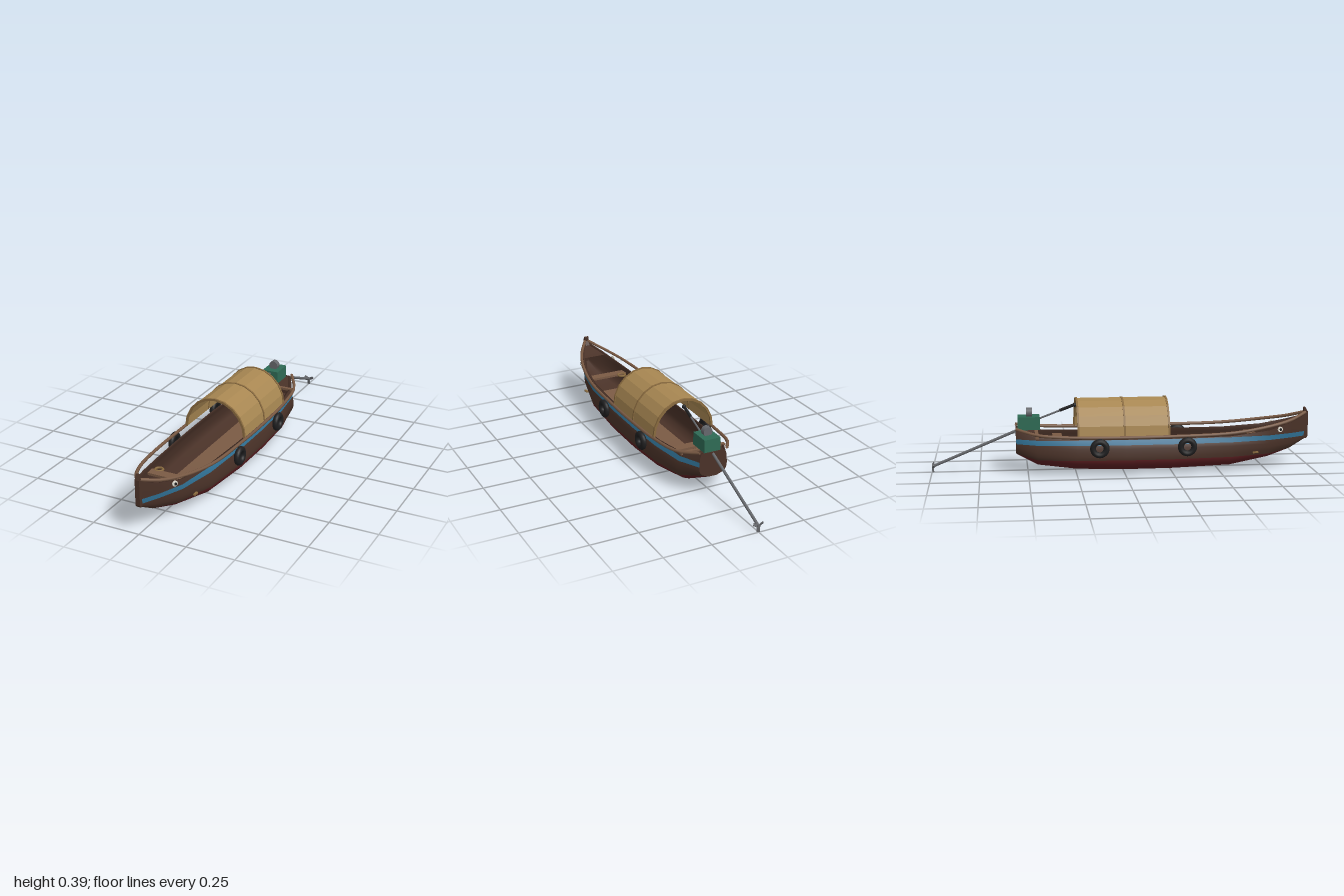
import * as THREE from 'three';

const mat = (name, color, side = THREE.FrontSide) => {
  const m = new THREE.MeshStandardMaterial({ color, side });
  m.name = name;
  return m;
};

// Hull stations: z, half beam, keel height, sheer height, bow sharpness
const STATIONS = [
  [-0.56, 0.078, 0.095, 0.228, 0], [-0.45, 0.14, 0.042, 0.196, 0], [-0.25, 0.17, 0.018, 0.185, 0],
  [0, 0.18, 0.01, 0.183, 0], [0.25, 0.178, 0.011, 0.183, 0], [0.56, 0.16, 0.02, 0.187, 0.1],
  [0.77, 0.12, 0.055, 0.207, 0.35], [0.9, 0.068, 0.095, 0.24, 0.7], [0.99, 0.012, 0.145, 0.275, 1],
];
// Midship section: height fraction, beam fraction
const SECTION = [[0, 0.28], [0.03, 0.56], [0.13, 0.83], [0.25, 0.95], [0.4, 1], [0.62, 0.98], [0.85, 0.93], [1, 0.84]];

function lookup(table, k) {
  const i = Math.max(1, table.findIndex((r) => r[0] >= k));
  const a = table[i - 1], b = table[i];
  const t = Math.min(1, Math.max(0, (k - a[0]) / (b[0] - a[0])));
  return a.map((v, n) => THREE.MathUtils.lerp(v, b[n], t));
}

function halfWidth(station, y) {
  const [, beam, keel, sheer, bow] = station;
  const u = THREE.MathUtils.clamp((y - keel) / (sheer - keel), 0, 1);
  return beam * THREE.MathUtils.lerp(lookup(SECTION, u)[1], 0.3 + 0.65 * Math.pow(u, 0.6), bow);
}

// Mirrors a half section [x, y] (keel to sheer) into a full one running from +x to -x
const mirrored = (half, z) => [
  ...[...half].reverse().map(([x, y]) => [x, y, z]),
  ...half.map(([x, y]) => [-x, y, z]),
];

// Skins a list of sections; bandOf gives a material index for each strip
function loft(sections, bandOf = () => 0) {
  const n = sections[0].length, geo = new THREE.BufferGeometry(), index = [];
  geo.setAttribute('position', new THREE.Float32BufferAttribute(sections.flat(2), 3));
  for (let j = 0; j < n - 1; j++) {
    const start = index.length;
    for (let i = 0; i < sections.length - 1; i++) {
      const a = i * n + j, b = a + 1, c = a + n, d = c + 1;
      index.push(a, c, b, b, c, d);
    }
    geo.addGroup(start, index.length - start, bandOf(j));
  }
  geo.setIndex(index);
  geo.computeVertexNormals();
  return geo;
}

export function createModel() {
  const boat = new THREE.Group();
  boat.name = 'boat';
  const brown = mat('dark hull wood', 0x4a3228), red = mat('bottom red', 0x5e1f22);
  const blue = mat('stripe blue', 0x2f6f92), wood = mat('plank wood', 0x7a5a44, THREE.DoubleSide);
  const tan = mat('canopy tan', 0xa88752, THREE.DoubleSide), rib = mat('rib tan', 0x8a6b3f);
  const green = mat('engine green', 0x2f6b55), grey = mat('metal grey', 0x66686c);
  const black = mat('rubber black', 0x1f1f20), white = mat('eye white', 0xe6e2d6);

  const add = (name, geo, material, x = 0, y = 0, z = 0) => {
    const m = new THREE.Mesh(geo, material);
    m.name = name;
    m.position.set(x, y, z);
    boat.add(m);
    return m;
  };
  const box = (name, w, h, d, material, x, y, z) => add(name, new THREE.BoxGeometry(w, h, d), material, x, y, z);
  const rod = (name, from, to, r, material) => {
    const curve = new THREE.LineCurve3(new THREE.Vector3(...from), new THREE.Vector3(...to));
    return add(name, new THREE.TubeGeometry(curve, 1, r, 8), material);
  };

  // Hull shell, painted in level bands
  const bands = [6, 4, 1, 2], rowBand = [0];
  bands.forEach((n, b) => { for (let k = 0; k < n; k++) rowBand.push(b); });
  const hullHalf = (s) => {
    const [, , keel, sheer] = s;
    const levels = [0, 0.08, 0.157, 0.182, sheer].map((y) => THREE.MathUtils.clamp(y, keel, sheer));
    const half = [[0, keel], [halfWidth(s, keel), keel]];
    bands.forEach((n, b) => {
      for (let k = 1; k <= n; k++) {
        const t = b === 0 ? (k / n) ** 2 : k / n;
        const y = THREE.MathUtils.lerp(levels[b], levels[b + 1], t);
        half.push([halfWidth(s, y), y]);
      }
    });
    return half;
  };
  const rows = rowBand.length;
  const outer = STATIONS.map((s) => mirrored(hullHalf(s), s[0]));
  const bandOf = (j) => (j < rows ? rowBand[rows - 1 - j] : rowBand[Math.max(0, j - rows - 1)]);
  add('hull', loft(outer, bandOf), [red, brown, blue, brown]);

  // Inner lining with the top edge of the planking
  const inner = STATIONS.map((s) => {
    const [z, , keel, sheer] = s;
    const half = [[0, keel + 0.02]];
    for (let k = 0; k <= 6; k++) {
      const y = THREE.MathUtils.lerp(keel + 0.02, sheer, k / 6);
      half.push([Math.max(0.001, halfWidth(s, y) - 0.01), y]);
    }
    half.push([halfWidth(s, sheer), sheer]);
    return mirrored(half, z);
  }).reverse();
  add('hullLining', loft(inner), brown);

  // Transom and bow end
  const collapse = (sec, y) => sec.map((p) => [0, y, p[2]]);
  const stern = outer[0], bow = outer[outer.length - 1];
  add('transom', loft([collapse(stern, 0.228), stern]), brown);
  add('bowEnd', loft([bow, collapse(bow, 0.275)]), brown);

  // Decks and floor, flat across, following the hull
  const strip = (zs, yOf, xOf) => loft(zs.map((z) => {
    const s = lookup(STATIONS, z), y = yOf(s), x = xOf(s, y);
    return [[-x, y, z], [x, y, z]];
  }));
  const deckWood = mat('deck wood', 0x4a3228, THREE.DoubleSide);
  deckWood.name = brown.name;
  brown.side = THREE.DoubleSide;
  add('bowDeck', strip([0.87, 0.9, 0.985], (s) => s[3] - 0.008, (s, y) => halfWidth(s, y) - 0.002), brown);
  add('sternDeck', strip([-0.558, -0.45], (s) => s[3] - 0.006, (s, y) => halfWidth(s, y) - 0.004), brown);
  add('floor', strip([-0.44, -0.25, 0, 0.25, 0.56, 0.7], (s) => Math.max(0.055, s[2] + 0.03),
    (s, y) => Math.min(0.085, halfWidth(s, y) - 0.012)), wood);

  // Thwarts
  box('bowThwart', 0.225, 0.012, 0.05, wood, 0, 0.165, 0.7);
  box('sternThwart', 0.25, 0.012, 0.05, wood, 0, 0.165, -0.34);
  box('sternStep', 0.1, 0.012, 0.04, wood, 0, 0.15, -0.39);
  box('sternBeam', 0.25, 0.012, 0.018, wood, 0, 0.196, -0.452);

  // Stem post
  const stem = new THREE.Shape([[-0.965, 0.26], [-0.98, 0.145], [-0.992, 0.143], [-1, 0.155], [-1, 0.285],
    [-0.985, 0.312], [-0.976, 0.308], [-0.978, 0.285]].map((p) => new THREE.Vector2(...p)));
  const stemGeo = new THREE.ExtrudeGeometry(stem, { depth: 0.024, bevelEnabled: false });
  add('stemPost', stemGeo.rotateY(Math.PI / 2).translate(-0.012, 0, 0), brown);

  // Rails, tyres, eyes and side pegs on both sides
  const railPath = [[0.008, 0.285, 0.985], [0.065, 0.256, 0.9], [0.118, 0.232, 0.77], [0.16, 0.208, 0.56],
    [0.174, 0.2, 0.25], [0.176, 0.199, 0], [0.168, 0.201, -0.25], [0.14, 0.212, -0.45], [0.076, 0.235, -0.56]];
  for (const side of [1, -1]) {
    const label = side > 0 ? 'left' : 'right';
    const pts = railPath.map(([x, y, z]) => new THREE.Vector3(x * side, y, z));
    const path = new THREE.CatmullRomCurve3(pts, false, 'centripetal');
    add(label + 'Rail', new THREE.TubeGeometry(path, 32, 0.0085, 6), wood);
    for (const z of [0.32, -0.135]) {
      add(label + 'Tyre', new THREE.TorusGeometry(0.035, 0.0155, 10, 24).rotateY(Math.PI / 2), black, side * 0.188, 0.147, z);
    }
    const eye = new THREE.Group();
    eye.name = label + 'Eye';
    [[0.014, 0.008, white, 0], [0.007, 0.004, black, 0.005]].forEach(([r, h, m, out]) => {
      const disc = new THREE.Mesh(new THREE.CylinderGeometry(r, r, h, 16).rotateZ(Math.PI / 2), m);
      disc.name = out ? 'pupil' : 'eyeWhite';
      disc.position.x = side * out;
      eye.add(disc);
    });
    eye.position.set(side * 0.101, 0.211, 0.828);
    eye.rotation.y = -side * 0.4;
    boat.add(eye);
    box(label + 'Peg', 0.012, 0.008, 0.03, rib, side * 0.134, 0.098, 0.69);
  }

  // Arched canopy with three ribs
  const arch = (a, b) => Array.from({ length: 11 }, (_, i) => {
    const t = (i / 10) * Math.PI;
    return new THREE.Vector2(a * Math.cos(t), 0.2 + b * Math.sin(t));
  });
  const archGeo = (a, b, thick, depth) => new THREE.ExtrudeGeometry(
    new THREE.Shape([...arch(a, b), ...arch(a - thick, b - thick).reverse()]), { depth, bevelEnabled: false });
  add('canopy', archGeo(0.169, 0.182, 0.006, 0.47), tan, 0, 0, -0.242);
  for (const z of [-0.248, -0.012 + 0.003, 0.222]) add('canopyRib', archGeo(0.173, 0.186, 0.012, 0.01), rib, 0, 0, z);

  // Rope coil
  add('ropeCoil', new THREE.TorusGeometry(0.02, 0.006, 6, 16).rotateX(Math.PI / 2), rib, -0.08, 0.168, 0.665);

  // Engine, tiller, shaft and propeller
  box('engine', 0.09, 0.068, 0.115, green, 0, 0.257, -0.493);
  add('flywheel', new THREE.CylinderGeometry(0.025, 0.025, 0.03, 20).rotateX(Math.PI / 2), grey, 0, 0.309, -0.49);
  rod('tiller', [0, 0.275, -0.44], [0, 0.343, -0.26], 0.005, grey);
  rod('tillerGrip', [0, 0.317, -0.33], [0, 0.345, -0.255], 0.008, black);
  add('tillerKnob', new THREE.SphereGeometry(0.011, 12, 8), black, 0, 0.345, -0.252);
  rod('propellerShaft', [0, 0.238, -0.5], [0, 0.033, -0.994], 0.0075, grey);
  add('propellerHub', new THREE.CylinderGeometry(0.009, 0.009, 0.014, 10).rotateX(Math.PI / 2), grey, 0, 0.033, -0.993);
  for (let i = 0; i < 3; i++) {
    const blade = new THREE.BoxGeometry(0.015, 0.024, 0.004).rotateY(0.4).translate(0, 0.018, 0);
    add('propellerBlade', blade.rotateZ(Math.PI + (i * 2 * Math.PI) / 3), grey, 0, 0.031, -0.994);
  }
  return boat;
}
